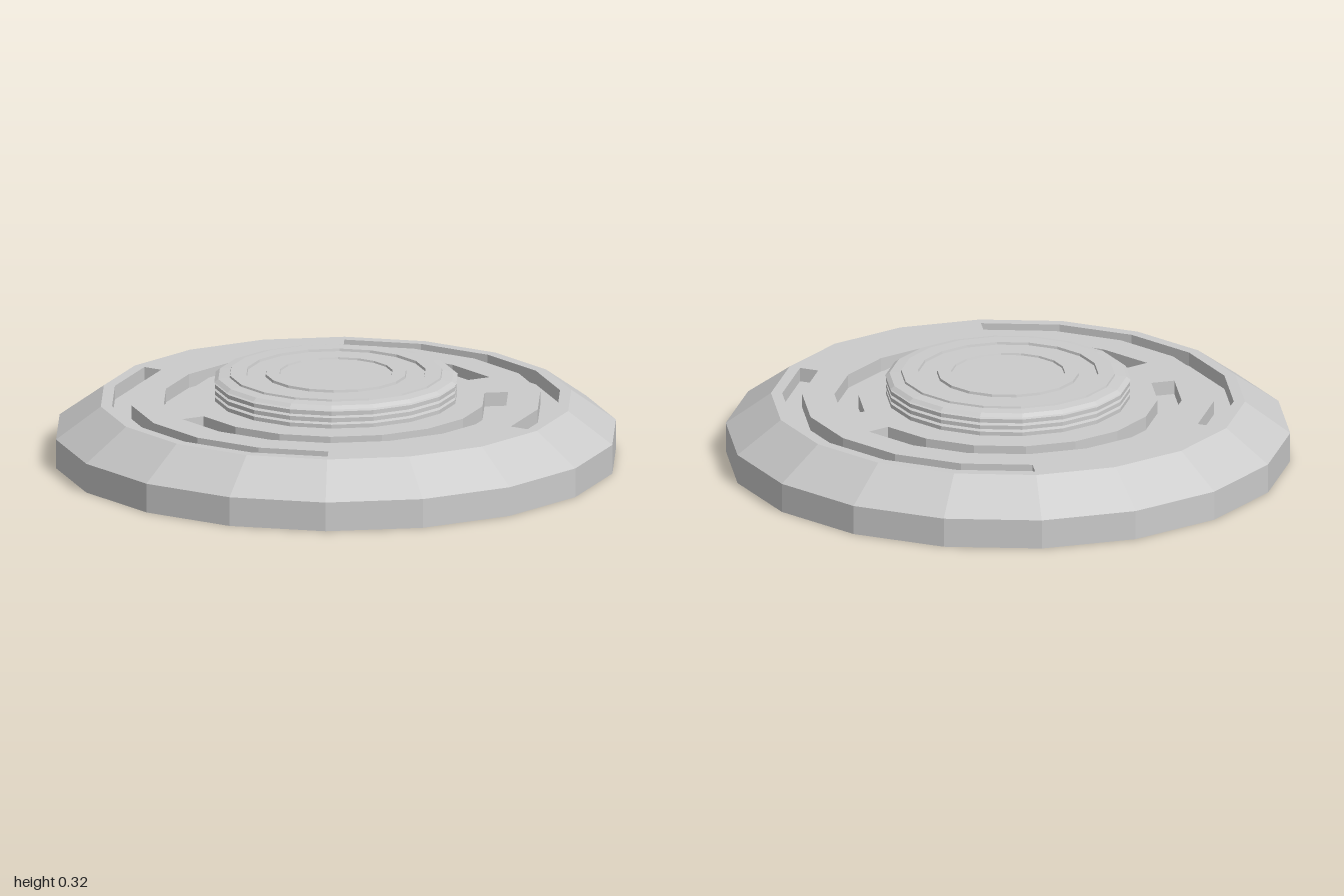
import * as THREE from 'three';

const SIDES = 18;
const material = new THREE.MeshStandardMaterial({ color: 0xcccccc, flatShading: true });

// Faceted turned part; a corner of the polygon lies on the x axis
function turned(name, profile) {
  const points = profile.map(([r, y]) => new THREE.Vector2(r, y));
  const mesh = new THREE.Mesh(new THREE.LatheGeometry(points, SIDES, Math.PI / 2, Math.PI * 2), material);
  mesh.name = name;
  return mesh;
}

const polar = (r, step) => {
  const a = (step / SIDES) * Math.PI * 2;
  return new THREE.Vector2(r * Math.cos(a), r * Math.sin(a));
};

// Slot outline following the polygon from one 20 degree step to another
function slot(inner, outer, from, to) {
  const points = [];
  for (let i = from; i <= to; i++) points.push(polar(outer, i));
  for (let i = to; i >= from; i--) points.push(polar(inner, i));
  return new THREE.Path(points);
}

export function createModel() {
  const group = new THREE.Group();
  const top = 0.22;
  const grooveDepth = 0.05;

  // Base rim with bevelled shoulder and shallow recessed underside
  group.add(turned('base', [[0, 0.03], [0.84, 0.03], [1, 0], [1, 0.105], [0.84, top]]));

  // Top plate pierced by four curved slots
  const plateShape = new THREE.Shape(Array.from({ length: SIDES }, (_, i) => polar(0.84, i)));
  plateShape.holes.push(
    slot(0.73, 0.8, 6, 12), // outer left
    slot(0.73, 0.8, -3, 3), // outer right
    slot(0.53, 0.615, 0, 8), // inner back
    slot(0.53, 0.615, 9, 17), // inner front
  );
  const plateGeometry = new THREE.ExtrudeGeometry(plateShape, { depth: grooveDepth, bevelEnabled: false });
  plateGeometry.rotateX(-Math.PI / 2);
  const plate = new THREE.Mesh(plateGeometry, material);
  plate.name = 'slottedTopPlate';
  plate.position.y = top - grooveDepth;
  group.add(plate);

  // Floor of the slots
  const floorGeometry = new THREE.CircleGeometry(0.84, SIDES);
  floorGeometry.rotateX(-Math.PI / 2);
  const floor = new THREE.Mesh(floorGeometry, material);
  floor.name = 'slotFloor';
  floor.position.y = top - grooveDepth;
  group.add(floor);

  // Ribbed central knob with shallow concentric rings on its top
  const knob = [];
  for (let i = 0; i < 3; i++) {
    const y = top + i * 0.024;
    knob.push([0.415, y], [0.432, y + 0.004], [0.432, y + 0.018], [0.415, y + 0.022]);
  }
  knob.push(
    [0.435, 0.294], [0.42, 0.305], [0.38, 0.309],
    [0.378, 0.316], [0.32, 0.316], [0.318, 0.307],
    [0.252, 0.307], [0.25, 0.316], [0.202, 0.316],
    [0.2, 0.309], [0, 0.309],
  );
  group.add(turned('knob', knob));

  return group;
}
